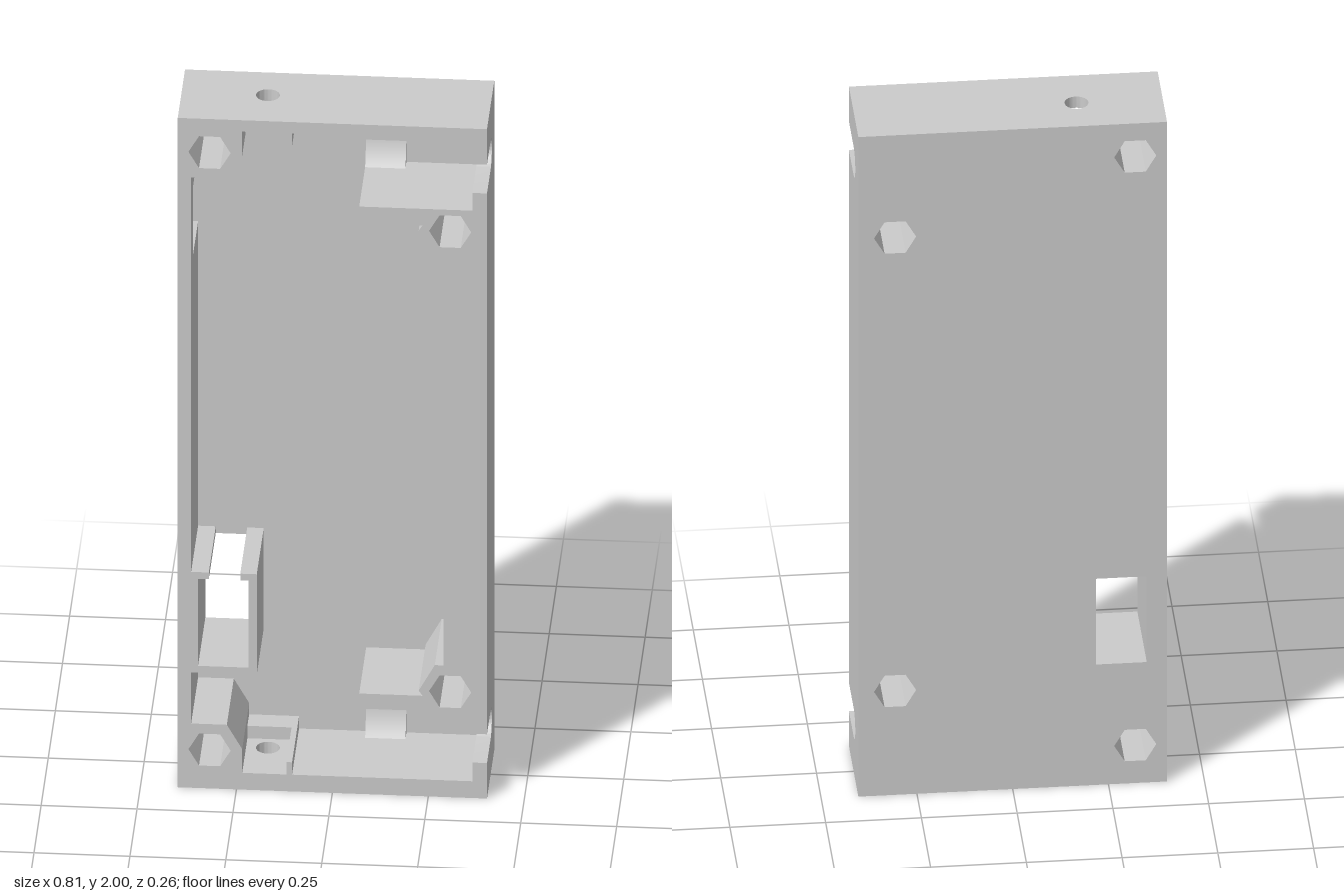
import * as THREE from 'three';
import { toCreasedNormals } from 'three/addons/utils/BufferGeometryUtils.js';

const W = 0.403, FRONT = 0.128, BACK = -0.128, FLOOR = -0.116;

export function createModel() {
  const group = new THREE.Group();
  const material = new THREE.MeshStandardMaterial({ color: 0xcccccc });

  const poly = pts => new THREE.Shape(pts.map(([x, y]) => new THREE.Vector2(x, y)));
  const rect = (x0, y0, x1, y1) => poly([[x0, y0], [x1, y0], [x1, y1], [x0, y1]]);
  const hex = (cx, cy) => poly(Array.from({ length: 6 }, (_, i) => {
    const a = i * Math.PI / 3;
    return [cx + 0.055 * Math.cos(a), cy + 0.055 * Math.sin(a)];
  }));

  // Extrude a shape from a to b along an axis.
  // Shape axes: z -> (x, y), x -> (-z, y), y -> (x, -z)
  function add(name, shape, axis, a, b, holes = []) {
    shape.holes.push(...holes);
    let geo = new THREE.ExtrudeGeometry(shape, { depth: b - a, bevelEnabled: false, curveSegments: 20 });
    geo.translate(0, 0, a);
    if (axis === 'x') geo.rotateY(Math.PI / 2);
    if (axis === 'y') geo.rotateX(-Math.PI / 2);
    geo = toCreasedNormals(geo, 0.5);
    const mesh = new THREE.Mesh(geo, material);
    mesh.name = name;
    group.add(mesh);
  }

  // Thin back plate with screw holes and a rectangular opening
  const screws = [[-0.32, 1.9], [-0.32, 0.115], [0.307, 1.69], [0.307, 0.315]];
  add('backPlate', rect(-W, 0, W, 2), 'z', BACK, FLOOR,
    [...screws.map(([x, y]) => hex(x, y)), rect(-0.35, 0.365, -0.218, 0.625)]);

  // Left wall with a side window reaching down to the plate
  add('leftWall', poly([
    [-FRONT, 0.645], [-FLOOR, 0.645], [-FLOOR, 1.555], [-0.06, 1.555],
    [-0.06, 1.76], [-FLOOR, 1.76], [-FLOOR, 1.823], [-FRONT, 1.823],
  ]), 'x', -W, -0.368);

  // Lower left wall with the switch holder and its two lips
  add('switchHolder', poly([
    [-W, 0.19], [-0.368, 0.19], [-0.368, 0.345], [-0.197, 0.345], [-0.197, 0.645],
    [-0.24, 0.645], [-0.24, 0.625], [-0.218, 0.625], [-0.218, 0.365], [-0.35, 0.365],
    [-0.35, 0.625], [-0.322, 0.625], [-0.322, 0.645], [-W, 0.645],
  ]), 'z', FLOOR, FRONT);

  // Thick right wall with the screw bosses and the chamber ribs
  add('rightWall', poly([
    [W, 0.255], [W, 1.755], [0.07, 1.755], [0.07, 1.705], [0.235, 1.705], [0.225, 1.69],
    [0.267, 1.612], [0.29, 1.612], [0.29, 0.393], [0.267, 0.393], [0.225, 0.315],
    [0.235, 0.3], [0.07, 0.3], [0.07, 0.255],
  ]), 'z', FLOOR, FRONT, [hex(0.307, 1.69), hex(0.307, 0.315)]);

  // Parts repeated at both ends: edge = outer face, dir = inward direction
  const ends = [
    { label: 'bottom', edge: 0, dir: 1, wall: 0.05, chamber: 0.05, ledge: 0.087, screw: 0.115 },
    { label: 'top', edge: 2, dir: -1, wall: 0.034, chamber: 0.044, ledge: 0.072, screw: 0.1 },
  ];
  for (const e of ends) {
    const at = d => e.edge + e.dir * d;
    const span = (p, q) => [Math.min(at(p), at(q)), Math.max(at(p), at(q))];

    // Corner boss
    const s = e.screw;
    add(e.label + 'CornerBoss', poly([
      [-W, at(0)], [-0.235, at(0)], [-0.235, at(s + 0.006)],
      [-0.275, at(s + 0.077)], [-W, at(s + 0.077)],
    ]), 'z', FLOOR, FRONT, [hex(-0.32, at(s))]);

    // End wall with a round hole
    const hole = new THREE.Path();
    hole.absarc(-0.178, 0.009, 0.031, 0, Math.PI * 2, false);
    add(e.label + 'Wall', rect(-0.235, -FRONT, 0.07, -FLOOR), 'y', ...span(0, e.wall), [hole]);
    const c = span(0, e.chamber);
    add(e.label + 'ChamberWall', rect(0.07, c[0], W, c[1]), 'z', FLOOR, FRONT);

    // Small ribs beside and behind the round hole
    const r = span(e.wall, e.ledge);
    add(e.label + 'SideRib', rect(-0.12, r[0], -0.105, r[1]), 'z', FLOOR, FRONT);
    add(e.label + 'BackRib', rect(-0.235, r[0], -0.12, r[1]), 'z', FLOOR, -0.055);

    // Chamber side wall with a round-ended slot open to the front
    const [y0, y1] = span(e.chamber, e.edge ? 0.245 : 0.255);
    const mid = at(0.149), rad = 0.043;
    const slot = new THREE.Shape();
    slot.moveTo(-FRONT, y0);
    slot.lineTo(-FLOOR, y0);
    slot.lineTo(-FLOOR, y1);
    slot.lineTo(-FRONT, y1);
    slot.lineTo(-FRONT, mid + rad);
    slot.lineTo(0.002, mid + rad);
    slot.absarc(0.002, mid, rad, Math.PI / 2, -Math.PI / 2, true);
    slot.lineTo(-FRONT, mid - rad);
    add(e.label + 'SlottedWall', slot, 'x', 0.365, W);

    // Concave cradle on the chamber floor
    const cradle = new THREE.Shape();
    cradle.moveTo(0.12, y0);
    cradle.lineTo(0.12, y1);
    cradle.lineTo(0.08, y1);
    cradle.quadraticCurveTo(0.15, (y0 + y1) / 2, 0.08, y0);
    add(e.label + 'Cradle', cradle, 'x', 0.07, 0.175);
  }
  return group;
}
